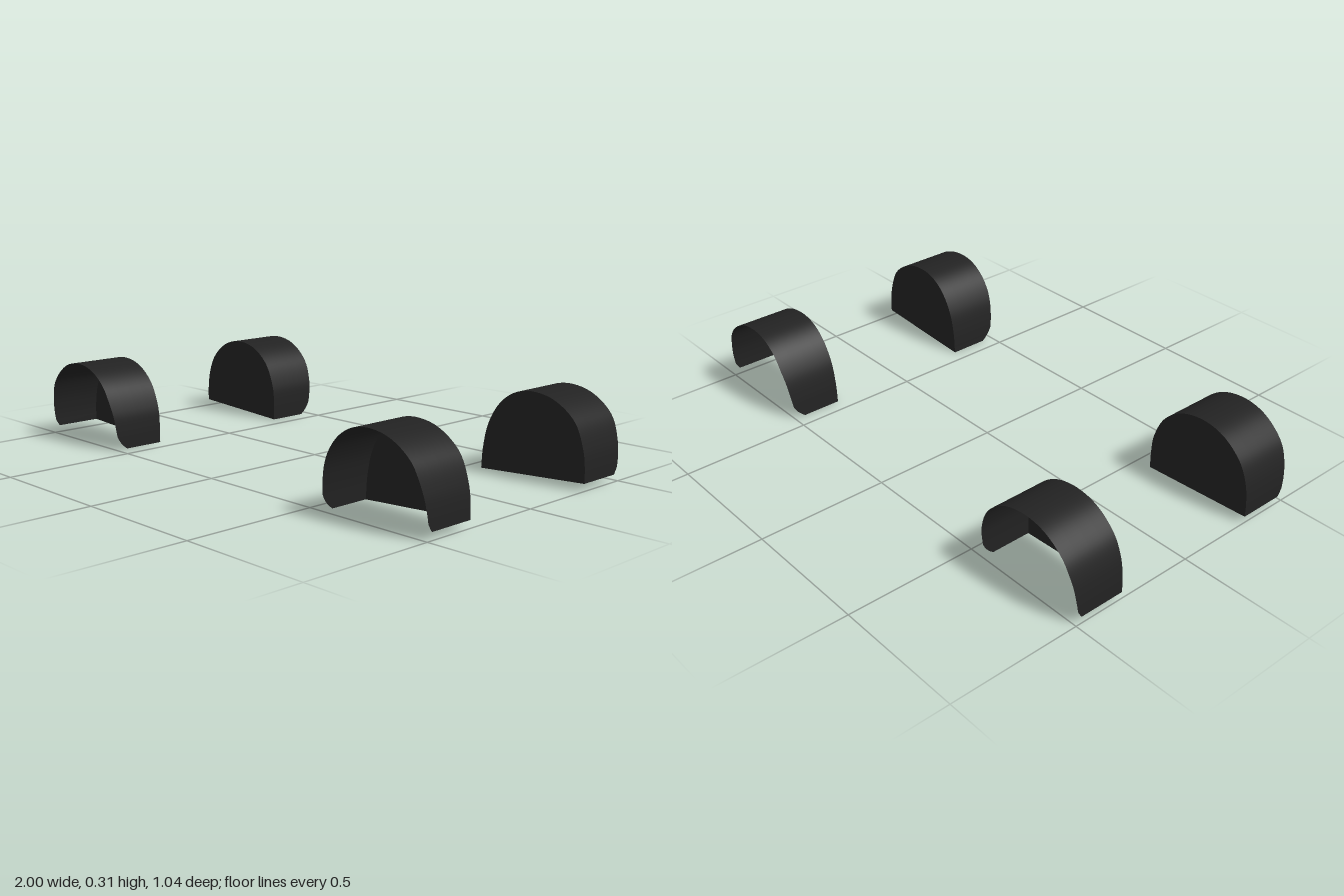
import * as THREE from 'three';

const WALL_Z = 0.3; // inner wall plane
const liner = new THREE.MeshStandardMaterial({ color: 0x222222, side: THREE.DoubleSide });

// Arch outlines in x, y, from one foot over the crown to the other
const rightArch = [[-1, 0.026], [-0.998, 0.09], [-0.985, 0.16], [-0.95, 0.23], [-0.872, 0.292], [-0.78, 0.312],
  [-0.685, 0.292], [-0.61, 0.232], [-0.569, 0.14], [-0.562, 0.08], [-0.562, 0.002]];
const leftArch = [[0.557, 0], [0.563, 0.08], [0.585, 0.172], [0.636, 0.254], [0.7, 0.298], [0.775, 0.311],
  [0.866, 0.292], [0.95, 0.23], [0.988, 0.14], [0.997, 0.08], [0.998, 0.026]];

// The open rim follows the body side: tucked in at the feet, full at the crown
const rimCurve = [[0, 0.455], [0.02, 0.48], [0.05, 0.5], [0.1, 0.508], [0.2, 0.52], [0.32, 0.523]];
function rimZ(x, y) {
  let i = 0;
  while (i < rimCurve.length - 2 && y > rimCurve[i + 1][0]) i++;
  const [y0, z0] = rimCurve[i], [y1, z1] = rimCurve[i + 1];
  return z0 + (z1 - z0) * (y - y0) / (y1 - y0) - 0.015 * (Math.abs(x) - 0.56);
}

function archLiner(outline, side) {
  const curve = new THREE.CatmullRomCurve3(outline.map(([x, y]) => new THREE.Vector3(x, y, 0)), false, 'centripetal');
  const segments = 64, rows = 4;
  const pts = curve.getSpacedPoints(segments);

  // Curved shell: a sheet bent over the outline, from the wall out to the rim
  const shellGeo = new THREE.PlaneGeometry(1, 1, segments, rows);
  const pos = shellGeo.attributes.position;
  for (let i = 0; i < pos.count; i++) {
    const p = pts[i % (segments + 1)];
    const t = Math.floor(i / (segments + 1)) / rows;
    const z = THREE.MathUtils.lerp(WALL_Z, rimZ(p.x, p.y), t);
    pos.setXYZ(i, p.x, p.y, side * z);
  }
  shellGeo.computeVertexNormals();
  const shell = new THREE.Mesh(shellGeo, liner);
  shell.name = 'archShell';

  // Flat wall closing the inner side
  const wall = new THREE.Mesh(new THREE.ShapeGeometry(new THREE.Shape(pts.map(p => new THREE.Vector2(p.x, p.y)))), liner);
  wall.position.z = side * WALL_Z;
  wall.name = 'innerWall';

  return new THREE.Group().add(shell, wall);
}

export function createModel() {
  const model = new THREE.Group();
  model.name = 'wheelArchLiners';
  for (const [end, outline] of [['right', rightArch], ['left', leftArch]]) {
    for (const side of [1, -1]) {
      const arch = archLiner(outline, side);
      arch.name = end + (side > 0 ? 'Front' : 'Back') + 'WheelArch';
      model.add(arch);
    }
  }
  return model;
}
